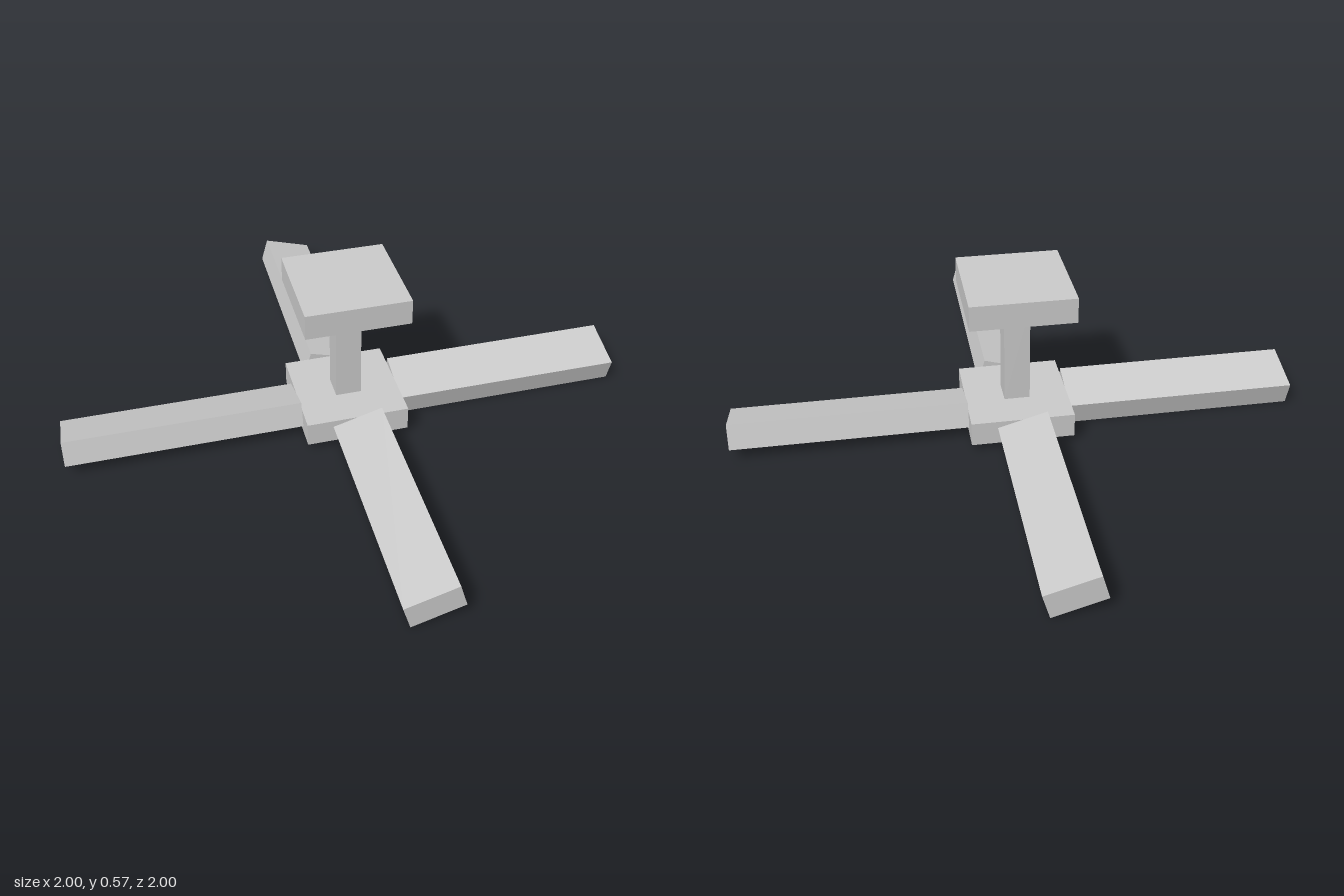
import * as THREE from 'three';

const material = new THREE.MeshStandardMaterial({ color: 0xcccccc, flatShading: true });

function box(name, w, h, d, x, y, z) {
  const mesh = new THREE.Mesh(new THREE.BoxGeometry(w, h, d), material);
  mesh.name = name;
  mesh.position.set(x, y, z);
  return mesh;
}

export function createModel() {
  const fan = new THREE.Group();
  fan.name = 'ceilingFan';

  // Ceiling mount, down rod and square hub
  fan.add(box('ceilingMount', 0.36, 0.09, 0.36, 0, 0.525, 0));
  fan.add(box('downRod', 0.09, 0.37, 0.09, 0, 0.297, 0));
  fan.add(box('hub', 0.36, 0.087, 0.36, 0, 0.07, 0));

  // Four pitched blades, each starting at a side of the hub
  for (let i = 0; i < 4; i++) {
    const arm = new THREE.Group();
    arm.name = 'bladeArm' + (i + 1);
    const blade = box('blade', 0.18, 0.09, 0.82, 0.01, 0.07, 0.59);
    blade.rotation.z = THREE.MathUtils.degToRad(16);
    arm.add(blade);
    arm.rotation.y = (i * Math.PI) / 2;
    fan.add(arm);
  }
  return fan;
}
